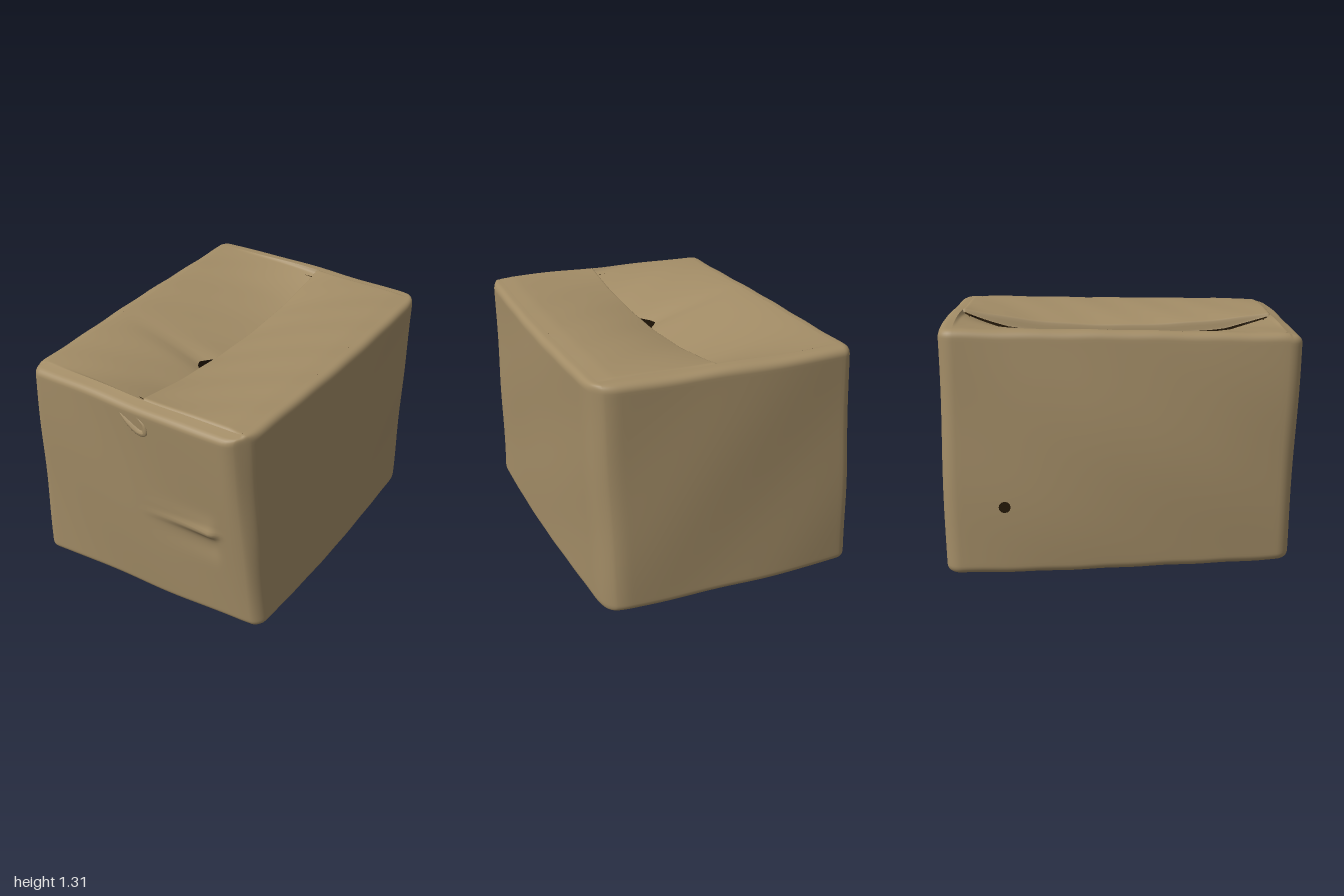
import * as THREE from 'three';
import { mergeVertices } from 'three/addons/utils/BufferGeometryUtils.js';

const RX = 0.085, RY = 0.035, RZ = 0.08; // edge rounding in box coordinates
const lerp = THREE.MathUtils.lerp;
const smooth = THREE.MathUtils.smoothstep;
const bell = (d, w) => Math.exp(-((d / w) ** 2));

// Eight skewed corners: [front left, front right, back right, back left] seen from the front
const TOP = [[-0.67, 1.268, 0.885], [0.675, 1.272, 0.99], [0.75, 1.308, -0.9], [-0.645, 1.32, -1.0]];
const BOTTOM = [[-0.705, 0.037, 0.84], [0.705, 0.037, 0.84], [0.71, 0.027, -0.93], [-0.715, 0.03, -0.99]];

// Maps box coordinates (x, z in -1..1, y in 0..1) onto the crumpled box
function warp(x, y, z) {
  // Crushed vertical edges on the +x side
  const crush = Math.max(0, x + Math.abs(z) - 1.8) ** 2 * (z > 0 ? 0.3 + 1.3 * y : 1);
  x -= crush;
  z -= Math.sign(z) * crush;
  const a = (x + 1) / 2, b = (1 - z) / 2;
  const at = (c, i) => lerp(lerp(c[0][i], c[1][i], a), lerp(c[3][i], c[2][i], a), b);
  const p = [0, 1, 2].map((i) => lerp(at(BOTTOM, i), at(TOP, i), y));
  // Bulging walls and soft dents
  const belly = Math.cos(z * 1.5);
  p[0] += belly * (0.022 * a - 0.055 * (1 - a) * Math.sin(Math.PI * Math.min(1, y * 0.75 + 0.22)));
  p[2] += (1 - x * x) * (0.012 * y * (1 - b) - 0.025 * b);
  p[0] += 0.004 * Math.sin(p[2] * 5 + p[1] * 4) * Math.sin(p[1] * 5);
  p[2] += 0.004 * Math.sin(p[0] * 6 + p[1] * 5);
  p[1] += 0.002 * Math.sin(p[0] * 7 + p[2] * 5) + 0.0015 * Math.sin(p[2] * 19 + p[0] * 11);
  // Front wall rim sits just under the lid
  p[1] -= 0.01 * y * smooth(z, 0.91, 0.94);
  // Pinched fold in the front wall, with a shallow hollow below it
  const front = smooth(z, 0.7, 0.95);
  const run = p[0] < 0.45 ? Math.max(0, p[0] / 0.45) ** 1.3 : bell(p[0] - 0.45, 0.035);
  p[2] += front * run * (0.026 * bell(p[1] - 0.6 - 0.05 * p[0], 0.022 + 0.01 * run)
    + 0.01 * bell(p[1] - 0.66, 0.06) - 0.014 * bell(p[1] - 0.53, 0.08));
  return p;
}

// Grid surface from a rule giving box coordinates
function sheet(nu, nv, rule) {
  const pos = [], idx = [];
  for (let j = 0; j <= nv; j++) for (let i = 0; i <= nu; i++) pos.push(...warp(...rule(i / nu, j / nv, i, j)));
  for (let j = 0; j < nv; j++) for (let i = 0; i < nu; i++) {
    const a = j * (nu + 1) + i, c = a + nu + 1;
    idx.push(a, a + 1, c + 1, a, c + 1, c);
  }
  let g = new THREE.BufferGeometry();
  g.setAttribute('position', new THREE.Float32BufferAttribute(pos, 3));
  g.setIndex(idx);
  g = mergeVertices(g, 1e-5);
  g.computeVertexNormals();
  return g;
}

// Four walls as one rounded loop; top and bottom edges roll inward
function wallLoop(shrink) {
  const ring = [], corners = [[-1, 1], [1, 1], [1, -1], [-1, -1]];
  for (let k = 0; k < 4; k++) {
    const [x0, z0] = corners[k], [x1, z1] = corners[(k + 1) % 4];
    const n = 60, th = (k * Math.PI) / 2;
    // Corner arcs are centred on the inset corners, so sides run between those
    for (let i = 0; i < n; i++) ring.push([lerp(x0, x1, i / n), lerp(z0, z1, i / n), Math.sin(th), Math.cos(th)]);
    for (let i = 0; i < 8; i++) {
      const t = th + (i / 8) * (Math.PI / 2);
      ring.push([x1, z1, Math.sin(t), Math.cos(t)]);
    }
  }
  ring.push(ring[0]);
  // Each row is [height, outward reach]
  const roll = [];
  for (let i = 0; i <= 8; i++) {
    const t = (i / 8) * (Math.PI / 2);
    roll.push([RY * (1 - Math.cos(t)), Math.sin(t) ** 0.6]);
  }
  const rows = [...roll];
  for (let i = 1; i < 70; i++) rows.push([lerp(RY, 1 - RY, i / 70), 1]);
  rows.push(...roll.map(([y, o]) => [1 - y, o]).reverse());
  return sheet(ring.length - 1, rows.length - 1, (u, v, i, j) => {
    const [cx, cz, nx, nz] = ring[i], [y, o] = rows[j];
    return [shrink * (cx * (1 - RX) + nx * RX * o), lerp(0.5, y, shrink), shrink * (cz * (1 - RZ) + nz * RZ * o)];
  });
}

// Half of the lid or floor, from its outer edge (side = -1 or 1) to the middle seam
function flap(side, top, edge, height) {
  return sheet(44, 64, (u, v) => {
    const w = side > 0 ? u : 1 - u, s = w ** 1.9;
    const z = Math.cos(Math.PI * v) * (top ? 1 : -1) * (1 - RZ);
    return [lerp(edge(z), side * (1 - RX), s), height(s, z), z];
  });
}

export function createModel() {
  const box = new THREE.Group();
  box.name = 'crumpledBox';
  const cardboard = new THREE.MeshStandardMaterial({ color: 0xa28c66, side: THREE.DoubleSide });
  cardboard.name = 'cardboard';
  const dark = new THREE.MeshStandardMaterial({ color: 0x271a08, side: THREE.DoubleSide });
  dark.name = 'dark interior';
  const add = (name, geometry, material) => {
    const m = new THREE.Mesh(geometry, material);
    m.name = name;
    box.add(m);
    return m;
  };

  add('walls', wallLoop(1), cardboard);
  add('innerWalls', wallLoop(0.95), dark);
  add('innerFloor', sheet(8, 8, (u, v) => [(2 * u - 1) * 0.9, 0.05, (1 - 2 * v) * 0.9]), dark);

  // Lid: the right flap, with a turned-down lip, overlaps the sagging, torn left flap
  const hump = (z) => Math.max(0, 1 - (z / (1 - RZ)) ** 2);
  const open = (z) => Math.max(0, 1 - (z / 0.64) ** 2);
  const rim = (z) => Math.min(1, (1 - RZ - Math.abs(z)) / 0.012);
  const lip = (z) => 0.012 + 0.03 * Math.min(1, 2 * hump(z));
  add('topRightFlap', flap(1, true, () => 0.035, (s, z) =>
    1 + 0.006 * rim(z) * Math.min(1, (1 - s) * 8) - 0.07 * hump(z) * (1 - s) ** 2 - lip(z) * bell(s, 0.012)), cardboard);
  add('topLeftFlap', flap(-1, true,
    (z) => 0.06 - 0.085 * Math.sqrt(open(z)) - 0.12 * bell(z - 0.23, 0.075),
    (s, z) => 1 - (0.015 * rim(z) + 0.03 * Math.min(1, 2 * hump(z)) + 0.085 * hump(z)) * (1 - s) ** 1.25), cardboard);

  // Floor flaps with lips rolled into the seam
  for (const side of [-1, 1]) {
    add(side > 0 ? 'bottomRightFlap' : 'bottomLeftFlap', flap(side, false,
      (z) => side * 0.008 * bell(z, 0.2),
      (s, z) => -0.02 * (1 - s) ** 3 * rim(z) + 0.034 * bell(s, 0.016)), cardboard);
  }

  // Small pinched tear near the top of the front wall
  const path = [[-0.1, 0.95], [-0.02, 0.915], [0.08, 0.885], [0.13, 0.89], [0.13, 0.925], [0.06, 0.96]]
    .map(([x, y]) => new THREE.Vector3(...warp(x, y, 1)));
  const curve = new THREE.CatmullRomCurve3(path);
  const tear = new THREE.TubeGeometry(curve, 32, 0.02, 10);
  const p = tear.attributes.position, v = new THREE.Vector3();
  for (let i = 0; i < p.count; i++) {
    const t = Math.floor(i / 11) / 32, c = curve.getPointAt(t);
    v.fromBufferAttribute(p, i).sub(c).multiplyScalar(Math.sin(Math.PI * t ** 0.8)).add(c);
    p.setXYZ(i, v.x, v.y, c.z + (v.z - c.z) * 0.6);
  }
  tear.computeVertexNormals();
  add('frontTear', tear, cardboard);

  // Puncture in the left wall
  const hole = add('puncture', new THREE.CircleGeometry(0.031, 12), dark);
  const h = warp(-1, 0.29, -0.66);
  hole.position.set(h[0] - 0.006, h[1], h[2]);
  hole.rotation.y = -Math.PI / 2;

  return box;
}
